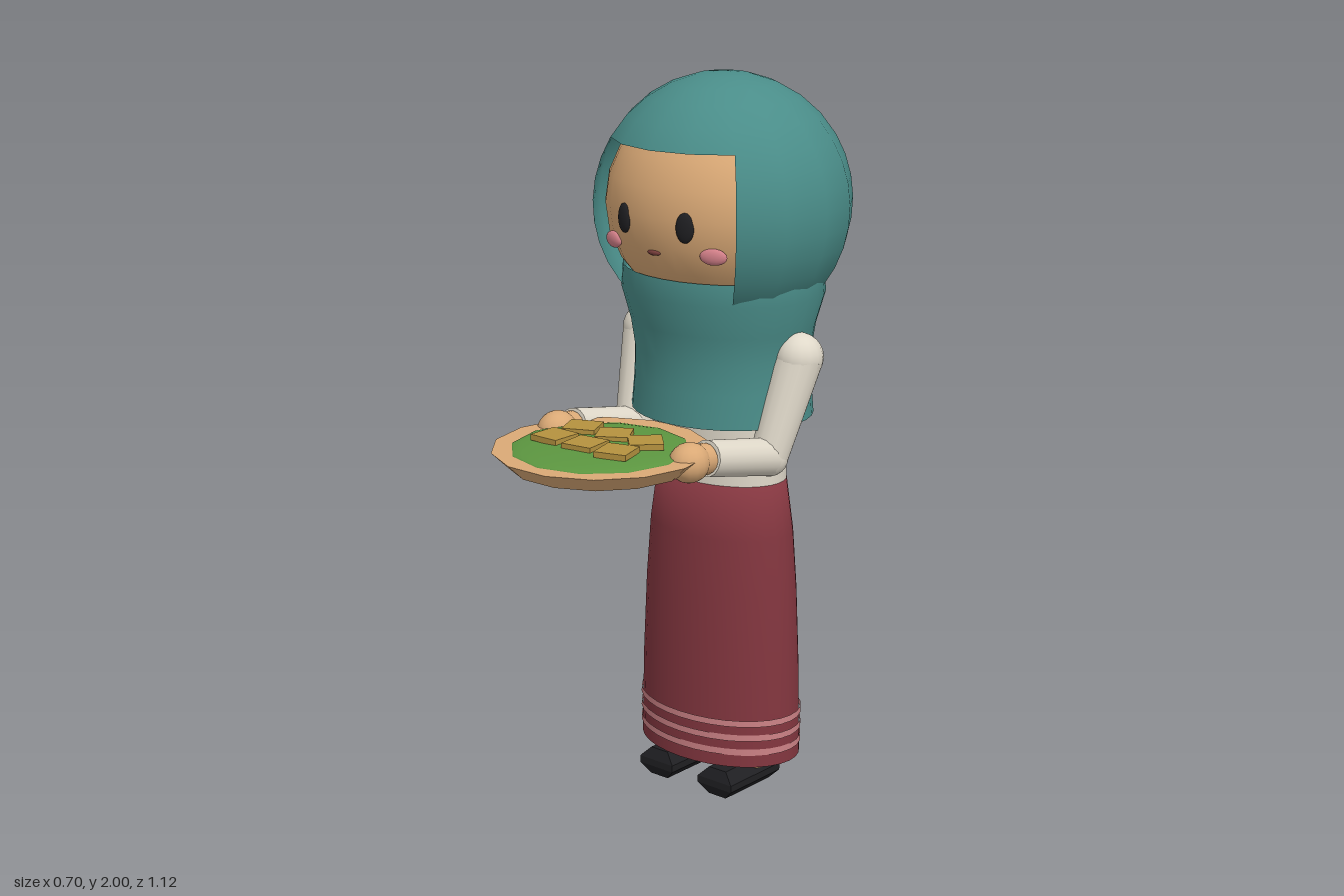
import * as THREE from 'three';
import { ConvexGeometry } from 'three/addons/geometries/ConvexGeometry.js';

const mat = (name, color, side = THREE.FrontSide) => {
  const m = new THREE.MeshStandardMaterial({ color, side });
  m.name = name;
  return m;
};
const V = (x, y, z) => new THREE.Vector3(x, y, z);
const AXIS_Z = -0.214; // body axis

export function createModel() {
  const model = new THREE.Group();
  const teal = mat('teal cloth', 0x4a8d89, THREE.DoubleSide);
  const red = mat('red cloth', 0x83363f, THREE.DoubleSide);
  const pink = mat('pink stripe', 0xca8084, THREE.DoubleSide);
  const white = mat('cream cloth', 0xe0d9ca);
  const skin = mat('tan', 0xdaa976);
  const black = mat('black', 0x1f1f22);
  const blush = mat('blush', 0xd38089);
  const lip = mat('lip brown', 0x7a3f3c);
  const green = mat('leaf green', 0x5c9640);
  const gold = mat('golden brown', 0xb5923f);

  const add = (name, geometry, material, x = 0, y = 0, z = 0) => {
    const mesh = new THREE.Mesh(geometry, material);
    mesh.name = name;
    mesh.position.set(x, y, z);
    model.add(mesh);
    return mesh;
  };
  const ellipsoid = (name, material, pos, radii, segs = 16) => {
    const mesh = add(name, new THREE.SphereGeometry(1, segs, 12), material, ...pos);
    mesh.scale.set(...radii);
    return mesh;
  };
  // Oval shell around the body axis; profile is [x radius, y], bottom to top
  const oval = (name, material, profile, depth) => {
    const pts = profile.map(([r, y]) => new THREE.Vector2(r, y));
    const mesh = add(name, new THREE.LatheGeometry(pts, 32), material, 0, 0, AXIS_Z);
    mesh.scale.z = depth;
    return mesh;
  };
  // Tapered limb segment between two points
  const limb = (name, material, a, b, ra, rb, segs = 16) => {
    const mesh = add(name, new THREE.CylinderGeometry(rb, ra, a.distanceTo(b), segs), material);
    mesh.position.copy(a).lerp(b, 0.5);
    mesh.quaternion.setFromUnitVectors(V(0, 1, 0), b.clone().sub(a).normalize());
    return mesh;
  };

  // Head and hood: full cap on top, open at the face below it
  ellipsoid('head', skin, [0, 1.65, AXIS_Z], [0.33, 0.3, 0.3], 32);
  const rad = THREE.MathUtils.degToRad;
  add('hoodCap', new THREE.SphereGeometry(0.35, 16, 5, 0, Math.PI * 2, 0, rad(59.5)), teal, 0, 1.65, AXIS_Z);
  add('hoodSides', new THREE.SphereGeometry(0.35, 12, 8, rad(135), rad(270), rad(59.5), rad(77)), teal, 0, 1.65, AXIS_Z);

  // Cape, blouse and skirt
  oval('cape', teal, [[0.262, 1.08], [0.254, 1.17], [0.252, 1.25], [0.265, 1.33], [0.292, 1.42], [0.286, 1.48]], 0.87);
  oval('blouse', white, [[0.2, 0.88], [0.2, 1.4]], 0.69);
  oval('skirt', red, [[0.25, 0.1], [0.245, 0.35], [0.235, 0.58], [0.222, 0.75], [0.2, 0.9], [0, 0.9]], 0.7);
  for (const y of [0.145, 0.187, 0.229]) {
    oval('hemStripe', pink, [[0.253, y - 0.009], [0.252, y + 0.009]], 0.705);
  }
  ellipsoid('button', black, [0, 0.995, -0.076], [0.022, 0.009, 0.006]);

  // Mouth
  ellipsoid('mouth', lip, [0, 1.557, 0.068], [0.022, 0.008, 0.008]);

  for (const s of [-1, 1]) {
    // Eyes and cheeks
    ellipsoid('eye', black, [s * 0.104, 1.635, 0.067], [0.026, 0.04, 0.012]).rotation.y = s * 0.3;
    ellipsoid('cheek', blush, [s * 0.172, 1.563, 0.033], [0.038, 0.022, 0.012]).rotation.y = s * 0.35;

    // Arms bent forward to hold the tray
    const shoulder = V(s * 0.268, 1.265, -0.208);
    const elbow = V(s * 0.24, 1.005, -0.12);
    const cuff = V(s * 0.235, 1.057, 0.135);
    ellipsoid('shoulder', white, shoulder.toArray(), [0.066, 0.068, 0.068]);
    limb('upperArm', white, elbow, shoulder, 0.052, 0.066);
    ellipsoid('elbow', white, elbow.toArray(), [0.053, 0.053, 0.053]);
    limb('forearm', white, elbow, cuff, 0.052, 0.049);
    limb('wrist', skin, cuff, V(s * 0.233, 1.06, 0.19), 0.042, 0.042);
    ellipsoid('hand', skin, [s * 0.232, 1.06, 0.198], [0.053, 0.053, 0.058]);

    // Legs and bevelled shoes
    limb('leg', skin, V(s * 0.107, 0.05, -0.2), V(s * 0.107, 0.7, -0.2), 0.052, 0.052);
    const corners = [];
    for (const [y, w, l] of [[0, 0.03, 0.094], [0.03, 0.06, 0.108], [0.05, 0.06, 0.108], [0.08, 0.03, 0.094]]) {
      for (const i of [-1, 1]) for (const k of [-1, 1]) corners.push(V(i * w, y, k * l));
    }
    add('shoe', new ConvexGeometry(corners), black, s * 0.107, 0, -0.167);
  }

  // Tray lined with a leaf
  add('tray', new THREE.CylinderGeometry(0.288, 0.243, 0.043, 14), skin, 0, 1.053, 0.28).rotation.y = Math.PI / 14;
  ellipsoid('leaf', green, [0, 1.071, 0.284], [0.24, 0.022, 0.242], 12);

  // Six square snacks: x, z, turn in degrees
  const snacks = [[-0.11, 0.23, 25], [0, 0.228, 32], [0.108, 0.227, 45],
    [-0.109, 0.339, 0], [0, 0.34, 8], [0.107, 0.338, 17]];
  for (const [x, z, turn] of snacks) {
    add('snack', new THREE.BoxGeometry(0.09, 0.016, 0.09), gold, x, 1.096, z).rotation.y = rad(turn);
  }
  return model;
}
